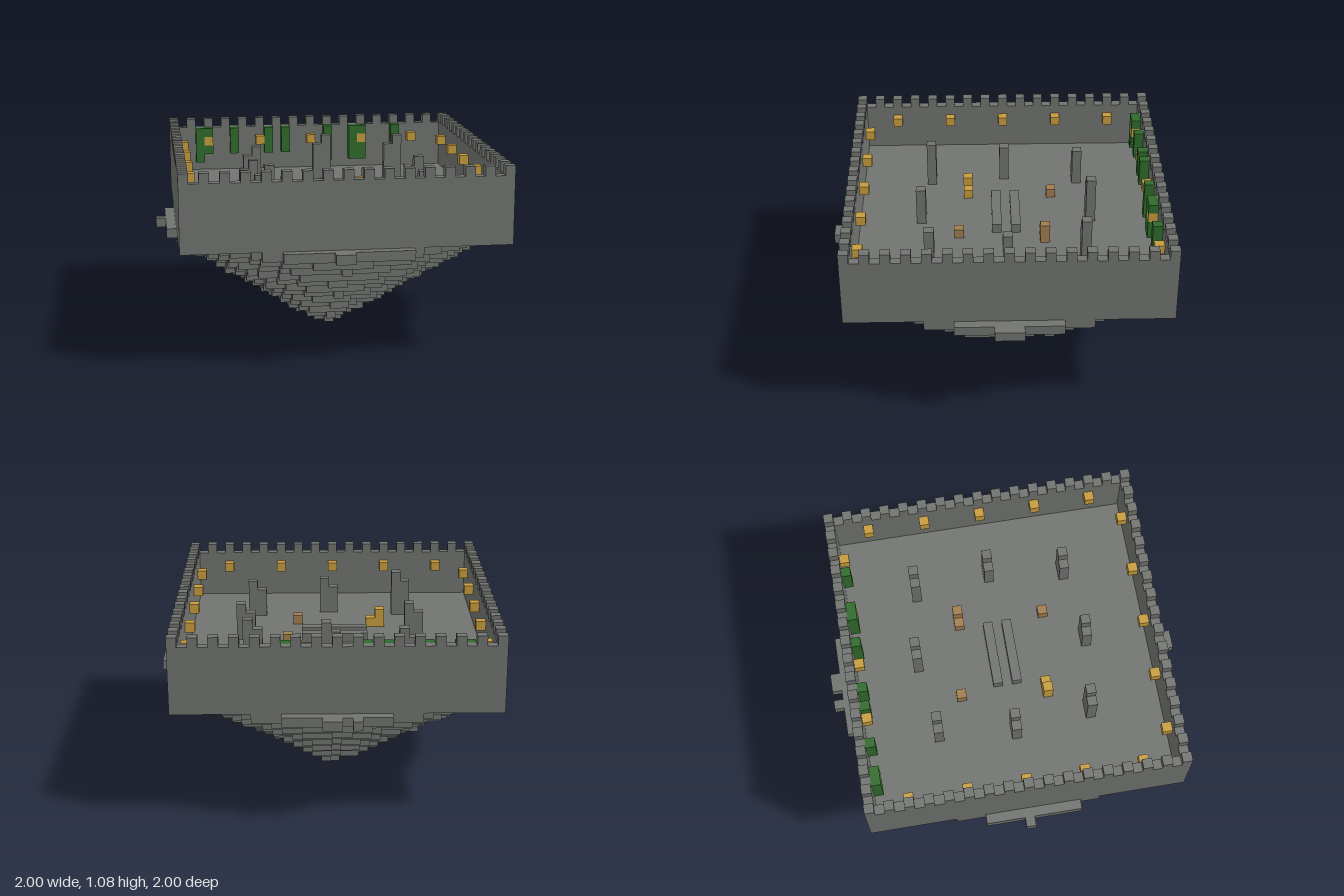
import * as THREE from 'three';
import { mergeGeometries } from 'three/addons/utils/BufferGeometryUtils.js';

const U = 2 / 37; // one block

const material = (name, color) => {
  const m = new THREE.MeshStandardMaterial({ color });
  m.name = name;
  return m;
};

// Box covering whole blocks x0..x1 and z0..z1, from level y0 up to level y1
function blocks(x0, x1, y0, y1, z0, z1) {
  const g = new THREE.BoxGeometry((x1 - x0 + 1) * U, (y1 - y0) * U, (z1 - z0 + 1) * U);
  return g.translate((x0 + x1) / 2 * U, (y0 + y1) / 2 * U, (z0 + z1) / 2 * U);
}
const column = (x, z, y0, y1) => blocks(x, x, y0, y1, z, z);

// Seeded random numbers for the ragged rock edge
function seeded(seed) {
  return () => {
    seed = (seed * 1664525 + 1013904223) >>> 0;
    return seed / 4294967296;
  };
}

// Inverted stepped cone: each layer is a disc of blocks, merged into rows
function rockLayers() {
  const rand = seeded(7), out = [];
  for (let layer = 0; layer < 12; layer++) {
    const r = 1.5 * (layer + 1), n = Math.ceil(r) + 1;
    for (let z = -n; z <= n; z++) {
      let start = null;
      for (let x = -n; x <= n + 1; x++) {
        const noise = x === 0 || z === 0 ? 0 : rand() * 0.5 - 0.2;
        const filled = Math.hypot(x, z) + noise <= r;
        if (filled && start === null) start = x;
        if (!filled && start !== null) {
          out.push(blocks(start, x - 1, layer, layer + 1, z, z));
          start = null;
        }
      }
    }
  }
  return out;
}

export function createModel() {
  const group = new THREE.Group();
  const stone = material('stone', 0x70736f);
  const gold = material('gold', 0xc69c3e);
  const wood = material('wood', 0xa17d50);
  const leaf = material('leaf', 0x2f6b2b);

  const add = (name, mat, geometries) => {
    const mesh = new THREE.Mesh(mergeGeometries(geometries), mat);
    mesh.name = name;
    group.add(mesh);
  };

  add('rockBase', stone, rockLayers());
  add('floor', stone, [blocks(-15, 15, 12, 14, -15, 15)]);

  // Four walls, one block thick
  add('walls', stone, [
    blocks(-16, 16, 12, 19, 16, 16),
    blocks(-16, 16, 12, 19, -16, -16),
    blocks(16, 16, 12, 19, -15, 15),
    blocks(-16, -16, 12, 19, -15, 15),
  ]);

  // Battlements on every second block
  const merlons = [];
  for (let i = -16; i <= 16; i += 2) {
    for (const s of [-16, 16]) {
      merlons.push(column(i, s, 19, 20));
      if (Math.abs(i) < 16) merlons.push(column(s, i, 19, 20));
    }
  }
  add('battlements', stone, merlons);

  // Lamps on the inside of each wall
  const lamps = [];
  for (const i of [-12, -6, 0, 6, 12]) {
    for (const s of [-15, 15]) lamps.push(column(i, s, 17, 18), column(s, i, 17, 18));
  }
  add('lamps', gold, lamps);

  // Vines on the back wall, open where a lamp hangs: [x, bottom level]
  const vines = [];
  for (const [x, bottom] of [[-13, 15], [-12, 16], [-9, 16], [-5, 16], [-3, 16], [2, 15], [5, 15], [6, 15], [10, 16]]) {
    if (x % 6 === 0) vines.push(column(x, -15, 18, 19), column(x, -15, bottom, 17));
    else vines.push(column(x, -15, bottom, 19));
  }
  add('vines', leaf, vines);

  // Ring of stepped standing stones: [x, z, top level]
  const stones = [];
  for (const [x, z, top] of [[0, -9, 19], [8, -8, 19], [9, 0, 18], [8, 8, 18], [0, 9, 18], [-8, 8, 19], [-9, 0, 18], [-8, -8, 18]]) {
    stones.push(column(x, z, 14, top - 1), column(x + 1, z, 14, top));
  }
  add('standingStones', stone, stones);

  // Long benches and seats in the middle
  add('benches', stone, [-1, 1].map((z) => blocks(-3, 3, 14, 15, z, z)));
  add('goldSeat', gold, [column(-5, 4, 14, 16), column(-4, 4, 14, 15)]);
  add('woodSeat', wood, [column(4, -4, 14, 15), column(5, -4, 14, 16)]);
  add('woodStools', wood, [column(-4, -5, 14, 15), column(4, 5, 14, 15)]);

  return group;
}
